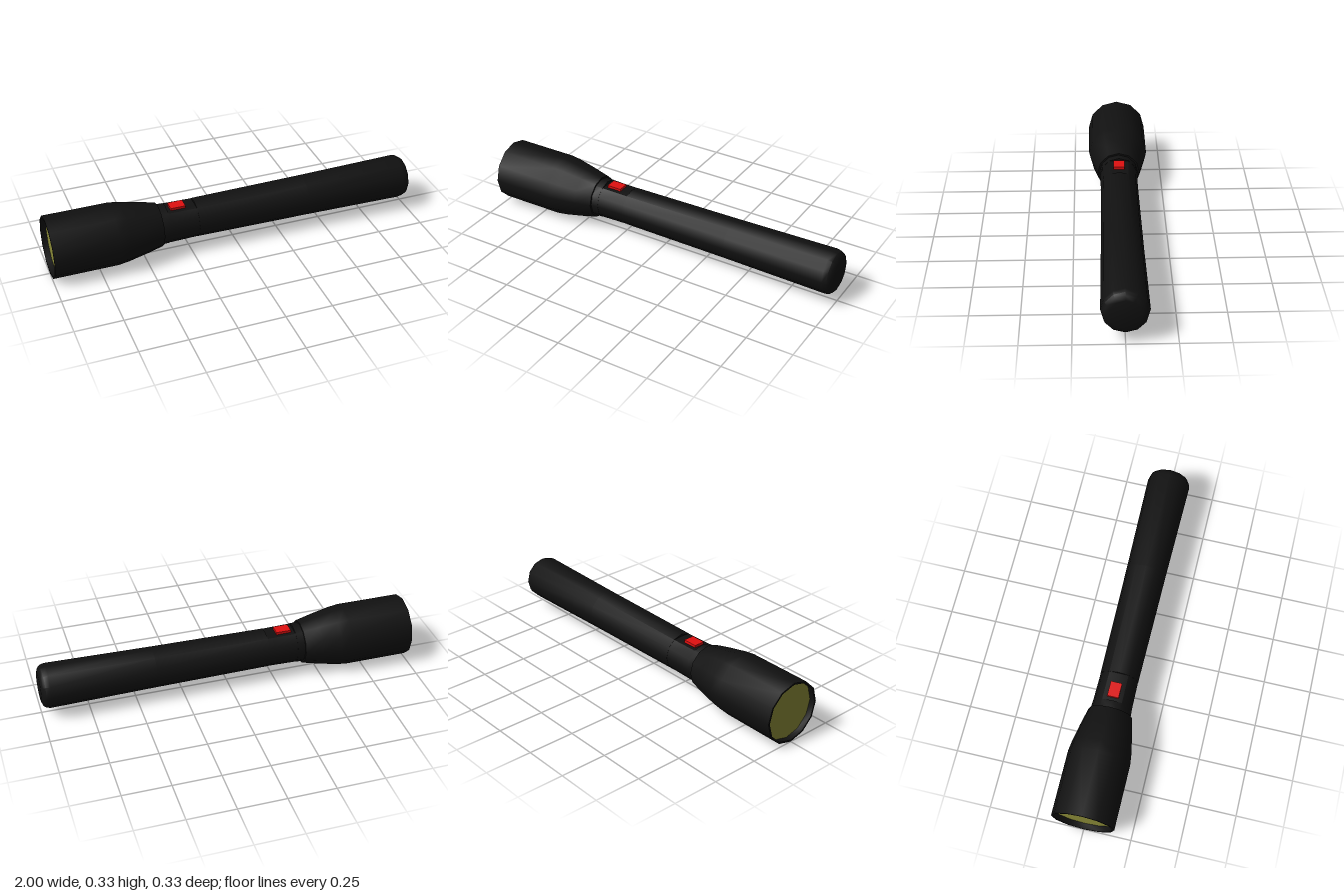
import * as THREE from 'three';
import { toCreasedNormals } from 'three/addons/utils/BufferGeometryUtils.js';

const AXIS_Y = 0.164;
const SIDES = 12;

// Twelve-sided turned part lying along x; profile is a list of [x, radius].
function turned(profile) {
  const points = profile.map(([x, r]) => new THREE.Vector2(r, x));
  return new THREE.LatheGeometry(points, SIDES).rotateZ(-Math.PI / 2);
}

export function createModel() {
  const flashlight = new THREE.Group();
  flashlight.name = 'flashlight';
  const black = new THREE.MeshStandardMaterial({ color: 0x111111 });
  const red = new THREE.MeshStandardMaterial({ color: 0xe01010 });
  const yellow = new THREE.MeshStandardMaterial({ color: 0x8c8c38 });

  function add(name, geometry, material) {
    const mesh = new THREE.Mesh(toCreasedNormals(geometry, 0.65), material);
    mesh.name = name;
    mesh.position.y = AXIS_Y;
    flashlight.add(mesh);
    return mesh;
  }

  // Flared head: inner wall, thin rim, outer shell and taper to the neck
  add('head', turned([
    [-0.965, 0.155], [-1, 0.155], [-1, 0.164], [-0.655, 0.164], [-0.6, 0.157],
    [-0.5, 0.137], [-0.41, 0.116], [-0.41, 0.098],
  ]), black);

  // Lens set back inside the rim
  add('lens', turned([[-0.97, 0], [-0.97, 0.156]]), yellow);

  // Handle with rounded tail cap
  const recess = [-0.37, -0.215];
  const handle = turned([
    [-0.42, 0.107], [recess[0], 0.105], [recess[0], 0.104],
    [recess[1], 0.101], [recess[1], 0.102],
    [0.4, 0.108], [0.955, 0.117], [0.978, 0.112], [0.992, 0.1], [1, 0.078], [1, 0],
  ]);
  // Flatten the top between the recess ends to seat the switch
  const pos = handle.attributes.position;
  const ringSize = pos.count / (SIDES + 1);
  for (let i = 0; i < pos.count; i++) {
    const ring = i % ringSize;
    if (ring === 2 || ring === 3) pos.setY(i, Math.min(pos.getY(i), 0.09));
  }
  add('handle', handle, black);

  // Sliding switch
  const button = add('switchButton', new THREE.BoxGeometry(0.08, 0.022, 0.06), red);
  button.position.set(-0.31, AXIS_Y + 0.092, 0);

  return flashlight;
}
